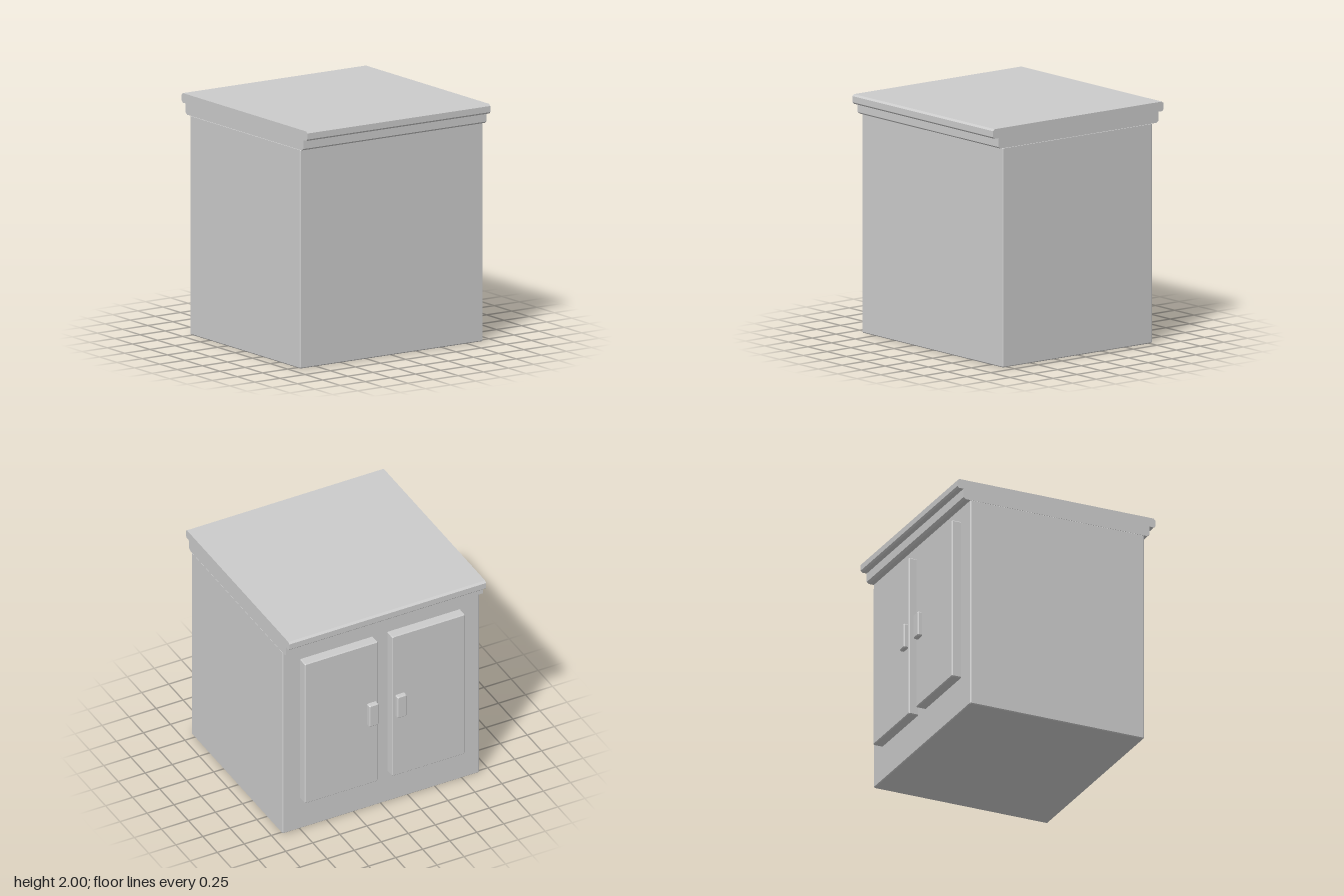
import * as THREE from 'three';

const material = new THREE.MeshStandardMaterial({ color: 0xcccccc, flatShading: true });

// Box with every edge cut by a small chamfer, given by its limits.
function chamferedBox(name, [x0, x1], [y0, y1], [z0, z1], c) {
  const shape = new THREE.Shape([
    [x0 + c, y0], [x1 - c, y0], [x1, y0 + c], [x1, y1 - c],
    [x1 - c, y1], [x0 + c, y1], [x0, y1 - c], [x0, y0 + c],
  ].map(([x, y]) => new THREE.Vector2(x, y)));
  const geometry = new THREE.ExtrudeGeometry(shape, {
    depth: z1 - z0 - 2 * c,
    bevelThickness: c, bevelSize: c, bevelOffset: -c, bevelSegments: 1,
  });
  geometry.translate(0, 0, z0 + c);
  const mesh = new THREE.Mesh(geometry, material);
  mesh.name = name;
  return mesh;
}

// Stepped worktop: one moulding profile, mirrored to both edges, run along x.
function createWorktop() {
  const edge = [ // outward distance from the middle, height
    [0.82, 1.83], [0.841, 1.845], [0.841, 1.92],
    [0.883, 1.92], [0.897, 1.934], [0.897, 1.985], [0.88, 2],
  ];
  const mid = 0.006;
  const points = [
    ...edge.map(([d, y]) => new THREE.Vector2(d - mid, y)),
    ...edge.map(([d, y]) => new THREE.Vector2(-d - mid, y)).reverse(),
  ];
  const geometry = new THREE.ExtrudeGeometry(new THREE.Shape(points), { depth: 1.82, bevelEnabled: false });
  geometry.translate(0, 0, -0.91);
  geometry.rotateY(Math.PI / 2);
  // the profile's horizontal axis now runs along -z
  const mesh = new THREE.Mesh(geometry, material);
  mesh.position.z = -0.002;
  mesh.name = 'worktop';
  return mesh;
}

export function createModel() {
  const model = new THREE.Group();
  model.name = 'cabinet';

  model.add(chamferedBox('body', [-0.91, 0.91], [0, 1.835], [-0.776, 0.8], 0.008));
  model.add(createWorktop());

  // Two doors on the back face, each with a handle by the centre gap
  const sides = [
    { side: 'left', door: [0.07, 0.747], handle: [0.083, 0.173] },
    { side: 'right', door: [-0.737, -0.06], handle: [-0.178, -0.088] },
  ];
  for (const { side, door, handle } of sides) {
    model.add(chamferedBox(`${side}Door`, door, [0.302, 1.708], [-0.86, -0.765], 0.008));
    model.add(chamferedBox(`${side}Handle`, handle, [0.897, 1.115], [-0.899, -0.85], 0.01));
  }
  return model;
}
